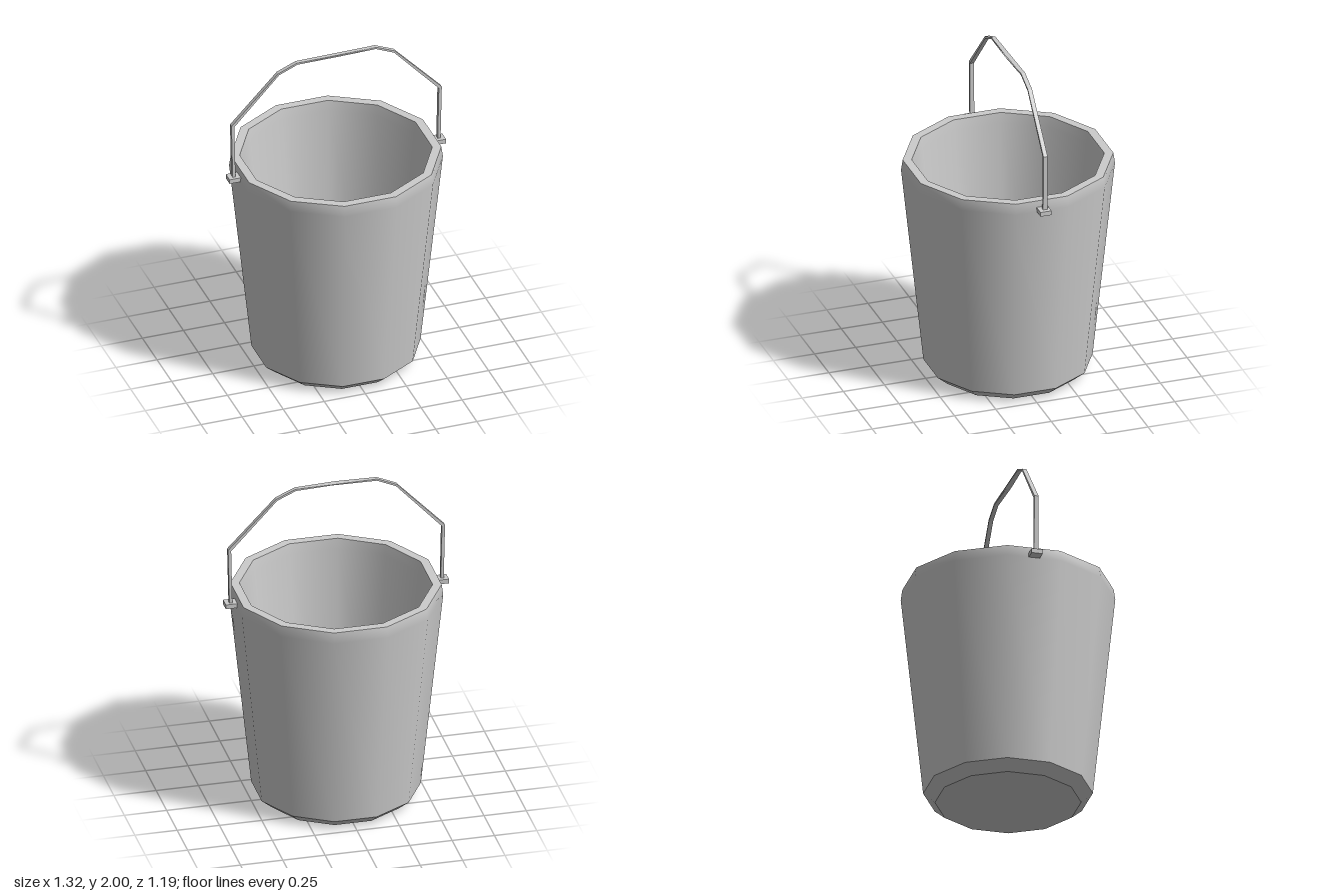
import * as THREE from 'three';
import { mergeGeometries } from 'three/addons/utils/BufferGeometryUtils.js';

const SIDES = 12;
const grey = new THREE.MeshStandardMaterial({ color: 0xcccccc });

function addPart(group, name, geometry) {
  const mesh = new THREE.Mesh(geometry, grey);
  mesh.name = name;
  group.add(mesh);
  return mesh;
}

// One ring of the bucket; points are [distance to the flat side, y]
function band(points) {
  const toCorner = 1 / Math.cos(Math.PI / SIDES);
  const profile = points.map(([r, y]) => new THREE.Vector2(r * toCorner, y));
  return new THREE.LatheGeometry(profile, SIDES, Math.PI / SIDES);
}

// Flat bent strip, cut from its front outline and slightly warped in depth
function handleGeometry() {
  const outer = [[0.633, 1.29], [0.641, 1.65], [0.357, 1.948], [0.243, 1.997]];
  const inner = [[0.616, 1.29], [0.623, 1.643], [0.352, 1.937], [0.24, 1.986]];
  const mirror = (pts) => pts.map(([x, y]) => [-x, y]).reverse();
  const outline = [
    ...outer, [0, 2], ...mirror(outer),
    ...mirror(inner).reverse(), [0, 1.989], ...inner.slice().reverse(),
  ];
  const shape = new THREE.Shape(outline.map(([x, y]) => new THREE.Vector2(x, y)));
  const depth = 0.025;
  const geometry = new THREE.ExtrudeGeometry(shape, { depth, bevelEnabled: false });
  geometry.translate(0, 0, -depth / 2);

  // Sideways drift of the strip along x
  const drift = [[-0.7, 0], [-0.24, 0.004], [0, 0.006], [0.24, -0.006], [0.36, -0.008], [0.7, -0.003]];
  const pos = geometry.attributes.position;
  for (let i = 0; i < pos.count; i++) {
    const x = pos.getX(i);
    const k = drift.findIndex(([dx]) => dx > x);
    const [x0, z0] = drift[k - 1];
    const [x1, z1] = drift[k];
    pos.setZ(i, pos.getZ(i) + THREE.MathUtils.mapLinear(x, x0, x1, z0, z1));
  }
  geometry.computeVertexNormals();
  return geometry;
}

export function createModel() {
  const model = new THREE.Group();
  model.name = 'bucket';

  // Body: separate bands keep the rim and base edges sharp
  addPart(model, 'body', mergeGeometries([
    band([[0, 0], [0.405, 0]]),                              // underside
    band([[0.405, 0], [0.47, 0.057]]),                       // base bevel
    band([[0.47, 0.057], [0.594, 1.28], [0.585, 1.345]]),    // outer wall
    band([[0.585, 1.345], [0.535, 1.345]]),                  // rim
    band([[0.535, 1.345], [0.526, 1.28], [0.405, 0.06]]),    // inner wall
    band([[0.405, 0.06], [0, 0.06]]),                        // floor
  ]));

  // Ears that hold the handle
  for (const [name, side] of [['leftEar', 1], ['rightEar', -1]]) {
    const ear = addPart(model, name, new THREE.BoxGeometry(0.09, 0.027, 0.066));
    ear.position.set(side * 0.614, 1.293, 0);
  }

  addPart(model, 'handle', handleGeometry());
  return model;
}
